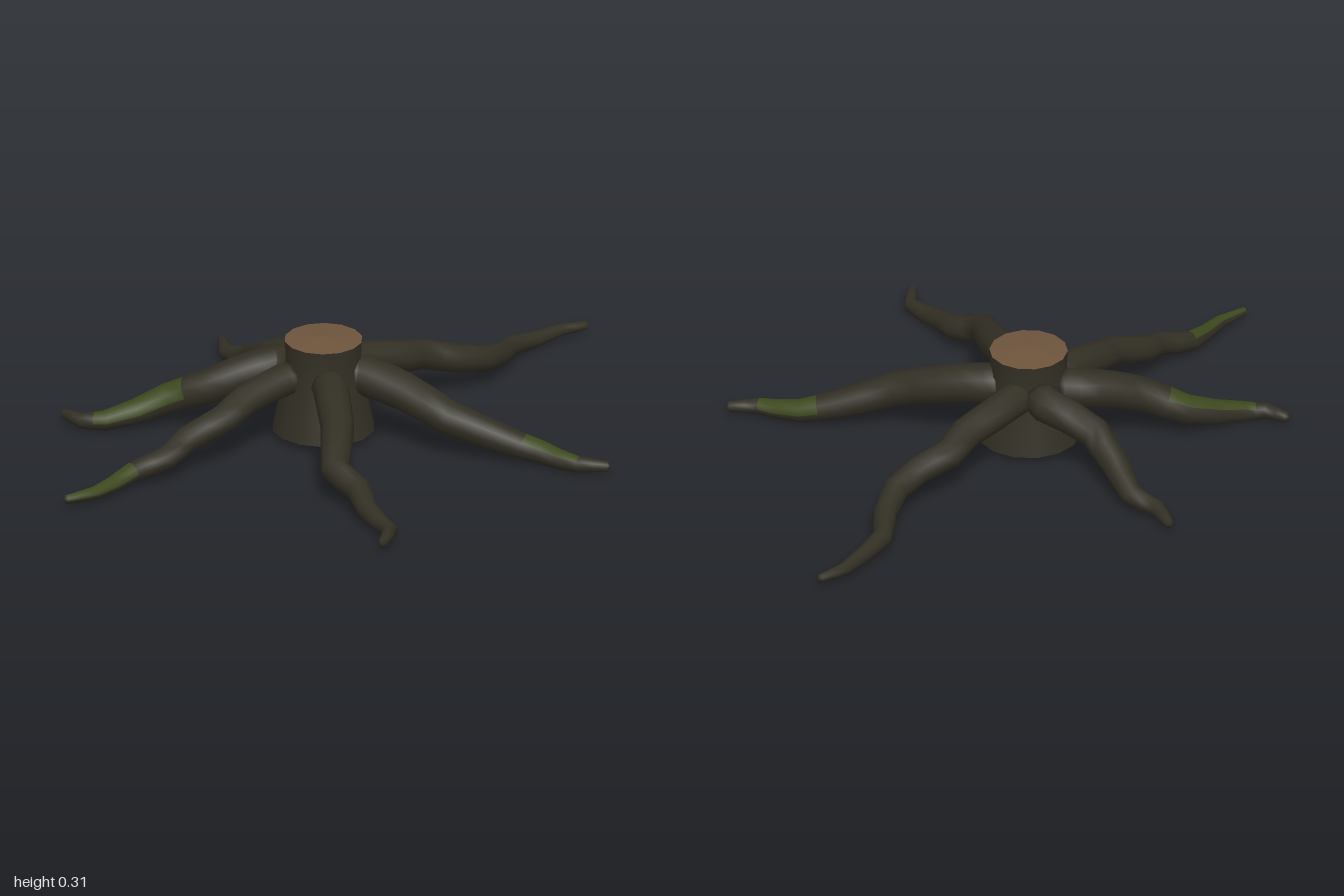
import * as THREE from 'three';

const bark = new THREE.MeshStandardMaterial({ color: 0x322f24, side: THREE.DoubleSide });
bark.name = 'bark';
const moss = new THREE.MeshStandardMaterial({ color: 0x3d481d });
moss.name = 'moss';
const cutWood = new THREE.MeshStandardMaterial({ color: 0x6d543c });
cutWood.name = 'cutWood';

const CX = -0.075, CZ = -0.106, SIDES = 10;

// Root height: leaves the stump high, sinks in a soft S-curve, then lies flat
const rootHeight = (t) => {
  const s = Math.min(1, t / 0.85);
  const smooth = 1 - s * s * (3 - 2 * s);
  return 0.035 + 0.165 * (0.7 * smooth + 0.3 * Math.pow(1 - s, 1.5));
};

// Tapered root swept along [x, z] points; moss covers the upper faces of the given span
function makeRoot(name, plan, radius, mossFrom = 1, mossTo = 1) {
  const [x0, z0] = plan[0];
  const path = [[CX + (x0 - CX) * 0.7, CZ + (z0 - CZ) * 0.7], ...plan];
  const lengths = [0];
  for (let i = 1; i < path.length; i++) {
    lengths.push(lengths[i - 1] + Math.hypot(path[i][0] - path[i - 1][0], path[i][1] - path[i - 1][1]));
  }
  const total = lengths[lengths.length - 1], start = lengths[1];

  // Stations: every bend plus one midpoint, so the height curve stays smooth
  const stations = [];
  for (let i = 0; i < path.length; i++) {
    const next = Math.min(i + 1, path.length - 1);
    for (const f of i < next ? [0, 0.5] : [0]) {
      const d = THREE.MathUtils.lerp(lengths[i], lengths[next], f);
      const t = Math.max(0, (d - start) / (total - start));
      const p = new THREE.Vector3(
        THREE.MathUtils.lerp(path[i][0], path[next][0], f), rootHeight(t),
        THREE.MathUtils.lerp(path[i][1], path[next][1], f));
      stations.push({ t, p });
    }
  }

  // Rings of vertices
  const positions = [], barkFaces = [], mossFaces = [];
  const up = new THREE.Vector3(0, 1, 0);
  const last = stations.length - 1;
  stations.forEach(({ p, t }, i) => {
    const dir = stations[Math.min(i + 1, last)].p.clone().sub(stations[Math.max(i - 1, 0)].p).normalize();
    const side = new THREE.Vector3().crossVectors(dir, up).normalize();
    const top = new THREE.Vector3().crossVectors(side, dir);
    const r = radius * (1 - 0.22 * t - 0.52 * t * t);
    for (let j = 0; j < SIDES; j++) {
      const a = (j / SIDES) * Math.PI * 2;
      const v = p.clone().addScaledVector(side, Math.cos(a) * r).addScaledVector(top, Math.sin(a) * r);
      positions.push(v.x, v.y, v.z);
    }
  });
  for (let i = 0; i < last; i++) {
    const mid = (stations[i].t + stations[i + 1].t) / 2;
    for (let j = 0; j < SIDES; j++) {
      const k = (j + 1) % SIDES;
      const a = i * SIDES + j, b = i * SIDES + k, c = a + SIDES, d = b + SIDES;
      const mossy = mid > mossFrom && mid < mossTo && j > 0 && j < SIDES / 2;
      (mossy ? mossFaces : barkFaces).push(a, c, b, b, c, d);
    }
  }

  // Closed inner end and rounded tip
  const inner = positions.length / 3, first = stations[0].p;
  const end = stations[last].p;
  const tip = end.clone().addScaledVector(end.clone().sub(stations[last - 1].p).normalize(), radius * 0.15);
  positions.push(first.x, first.y, first.z, tip.x, tip.y, tip.z);
  for (let j = 0; j < SIDES; j++) {
    const k = (j + 1) % SIDES;
    barkFaces.push(j, k, inner, last * SIDES + k, last * SIDES + j, inner + 1);
  }

  const geometry = new THREE.BufferGeometry();
  geometry.setAttribute('position', new THREE.Float32BufferAttribute(positions, 3));
  geometry.setIndex([...barkFaces, ...mossFaces]);
  geometry.addGroup(0, barkFaces.length, 0);
  geometry.addGroup(barkFaces.length, mossFaces.length, 1);
  geometry.computeVertexNormals();
  const mesh = new THREE.Mesh(geometry, [bark, moss]);
  mesh.name = name;
  return mesh;
}

export function createModel() {
  const group = new THREE.Group();
  group.name = 'treeStump';

  // Hollow flared stump, open below
  const profile = [[0.153, 0.028], [0.138, 0.1], [0.121, 0.18], [0.113, 0.25], [0.116, 0.31]];
  const stump = new THREE.Mesh(
    new THREE.LatheGeometry(profile.map(([r, y]) => new THREE.Vector2(r, y)), 14), bark);
  stump.name = 'stump';
  stump.position.set(CX, 0, CZ);
  group.add(stump);

  // Pale sawn top, very slightly domed
  const sawnTop = new THREE.Mesh(new THREE.ConeGeometry(0.116, 0.008, 14, 1, true), cutWood);
  sawnTop.name = 'sawnTop';
  sawnTop.position.set(CX, 0.314, CZ);
  group.add(sawnTop);

  // Six winding roots
  group.add(
    makeRoot('leftRoot', [[0.03, -0.12], [0.13, -0.095], [0.23, -0.06], [0.32, -0.055], [0.41, 0],
      [0.5, 0.025], [0.6, 0.005], [0.7, -0.04], [0.9, -0.02], [0.98, 0.015]], 0.052),
    makeRoot('frontRoot', [[-0.01, 0], [0.02, 0.13], [0.04, 0.28], [0.12, 0.43], [0.165, 0.53],
      [0.185, 0.66], [0.23, 0.735]], 0.062, 0.62, 0.9),
    makeRoot('frontRightRoot', [[-0.165, 0], [-0.29, 0.13], [-0.43, 0.24], [-0.44, 0.34],
      [-0.495, 0.42], [-0.545, 0.55], [-0.63, 0.592]], 0.054),
    makeRoot('rightRoot', [[-0.2, -0.165], [-0.34, -0.19], [-0.43, -0.19], [-0.55, -0.235],
      [-0.64, -0.235], [-0.735, -0.285], [-0.9, -0.295], [-0.99, -0.328]], 0.05, 0.66, 0.98),
    makeRoot('backRightRoot', [[-0.11, -0.25], [-0.19, -0.32], [-0.265, -0.39], [-0.325, -0.5],
      [-0.475, -0.61], [-0.515, -0.665], [-0.51, -0.738]], 0.06, 0.4, 0.82),
    makeRoot('backLeftRoot', [[0.02, -0.22], [0.015, -0.38], [0.07, -0.48], [0.135, -0.57],
      [0.14, -0.66], [0.203, -0.735]], 0.054),
  );
  return group;
}
